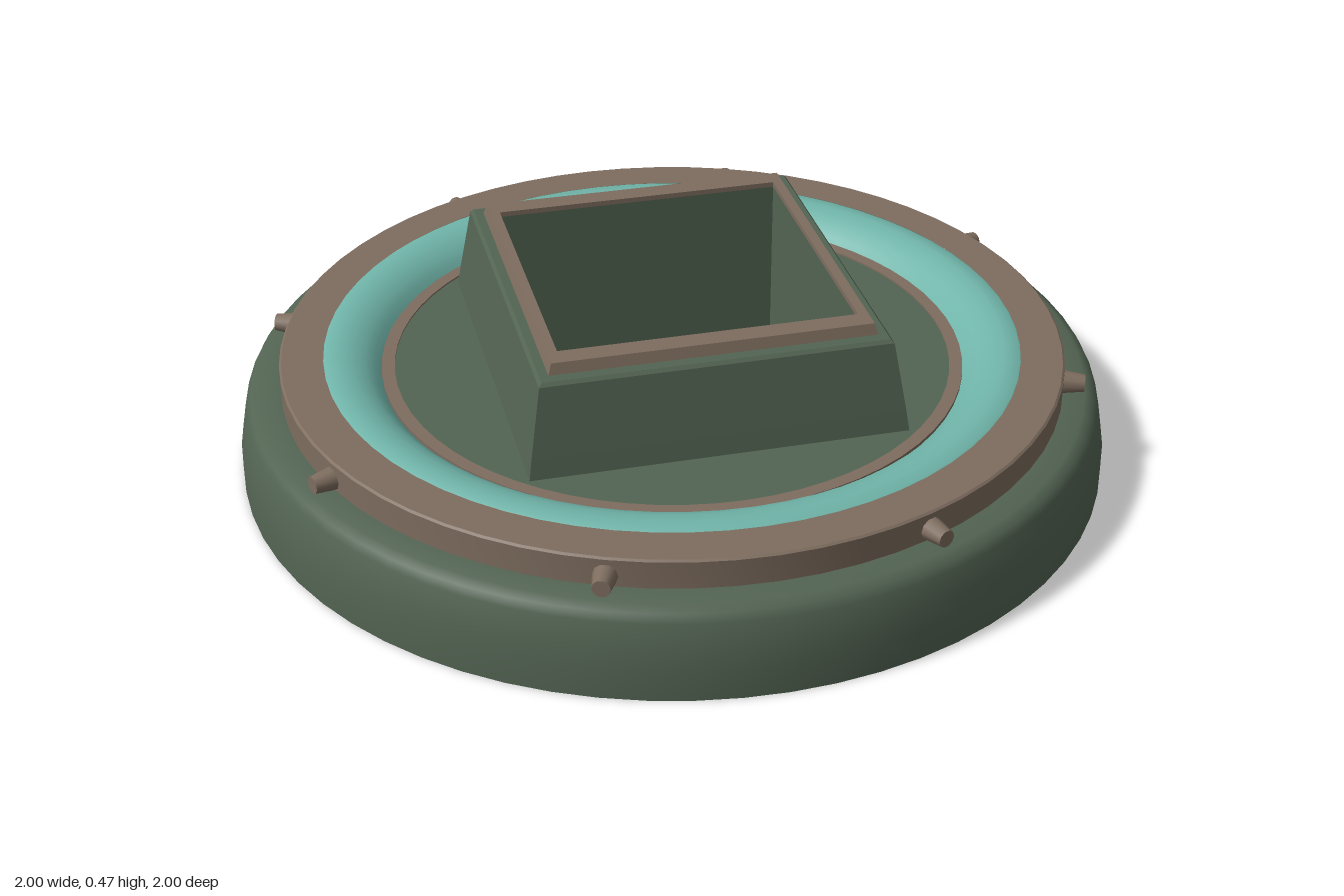
import * as THREE from 'three';
import { toCreasedNormals } from 'three/addons/utils/BufferGeometryUtils.js';

function material(name, color) {
  const m = new THREE.MeshStandardMaterial({ color });
  m.name = name;
  return m;
}

// Round part from a profile of [radius, y], running up the outside and inward over the top
function turned(profile) {
  const points = profile.map(([r, y]) => new THREE.Vector2(r, y));
  return toCreasedNormals(new THREE.LatheGeometry(points, 64), 0.6);
}

// Four-sided shell through rectangular sections [halfX, halfZ, y]
function squareShell(sections) {
  const corners = [[1, 1], [1, -1], [-1, -1], [-1, 1]];
  const positions = [];
  const at = (s, i) => {
    const [cx, cz] = corners[i % 4];
    return [cx * s[0], s[2], cz * s[1]];
  };
  for (let k = 0; k < sections.length - 1; k++) {
    const lo = sections[k], hi = sections[k + 1];
    for (let i = 0; i < 4; i++) {
      const a = at(lo, i), b = at(lo, i + 1), c = at(hi, i + 1), d = at(hi, i);
      positions.push(...a, ...b, ...c, ...a, ...c, ...d);
    }
  }
  const g = new THREE.BufferGeometry();
  g.setAttribute('position', new THREE.Float32BufferAttribute(positions, 3));
  g.computeVertexNormals();
  return g;
}

// Flat disc with a rectangular opening, facing up or down
function openDisc(radius, halfX, halfZ, y, up) {
  const shape = new THREE.Shape().absarc(0, 0, radius, 0, Math.PI * 2, false);
  const hole = new THREE.Path();
  hole.moveTo(-halfX, -halfZ);
  hole.lineTo(-halfX, halfZ);
  hole.lineTo(halfX, halfZ);
  hole.lineTo(halfX, -halfZ);
  hole.closePath();
  shape.holes.push(hole);
  const g = new THREE.ShapeGeometry(shape, 32);
  g.rotateX(up ? -Math.PI / 2 : Math.PI / 2);
  g.translate(0, y, 0);
  return g;
}

export function createModel() {
  const model = new THREE.Group();
  model.name = 'roundPedestal';
  const green = material('dark green', 0x536453);
  const brown = material('brown', 0x7e6d5f);
  const teal = material('teal', 0x70b4a9);

  function add(name, geometry, mat, parent = model) {
    const mesh = new THREE.Mesh(geometry, mat);
    mesh.name = name;
    parent.add(mesh);
    return mesh;
  }

  // Base with a rounded shoulder
  add('baseSide', turned([
    [1, 0], [1, 0.07], [0.992, 0.12], [0.98, 0.175], [0.97, 0.193], [0.95, 0.204], [0.89, 0.205],
  ]), green);
  add('baseUnderside', openDisc(1, 0.335, 0.335, 0, false), green);

  // Raised outer band and the glazed ring falling inward from it
  add('outerBand', turned([[0.9, 0.2], [0.9, 0.268], [0.895, 0.272], [0.8, 0.272]]), brown);
  add('glazedRing', turned([
    [0.805, 0.268], [0.795, 0.274], [0.765, 0.277], [0.735, 0.272], [0.705, 0.258], [0.685, 0.242], [0.668, 0.222],
  ]), teal);
  add('innerBand', turned([[0.67, 0.215], [0.67, 0.232], [0.64, 0.232], [0.64, 0.215]]), brown);

  // Floor and tapered square socket
  add('floor', openDisc(0.65, 0.41, 0.44, 0.228, true), green);
  add('socketWall', squareShell([
    [0.425, 0.455, 0.225], [0.418, 0.448, 0.275], [0.392, 0.422, 0.435], [0.385, 0.415, 0.443], [0.36, 0.385, 0.443],
  ]), green);
  add('socketRim', squareShell([
    [0.366, 0.391, 0.44], [0.358, 0.383, 0.468], [0.335, 0.335, 0.468], [0.335, 0.335, 0.455],
  ]), brown);
  add('socketBore', squareShell([[0.335, 0.335, 0.456], [0.335, 0.335, 0]]), green);

  // Studs around the outer band
  const studs = new THREE.Group();
  studs.name = 'studs';
  model.add(studs);
  const studShape = new THREE.CylinderGeometry(0.02, 0.03, 0.07, 10);
  for (let i = 0; i < 8; i++) {
    const angle = Math.PI / 8 + i * Math.PI / 4;
    const stud = add('stud', studShape, brown, studs);
    stud.position.set(Math.cos(angle) * 0.912, 0.23, Math.sin(angle) * 0.912);
    stud.rotation.set(0, -angle, -Math.PI / 2);
  }
  return model;
}
